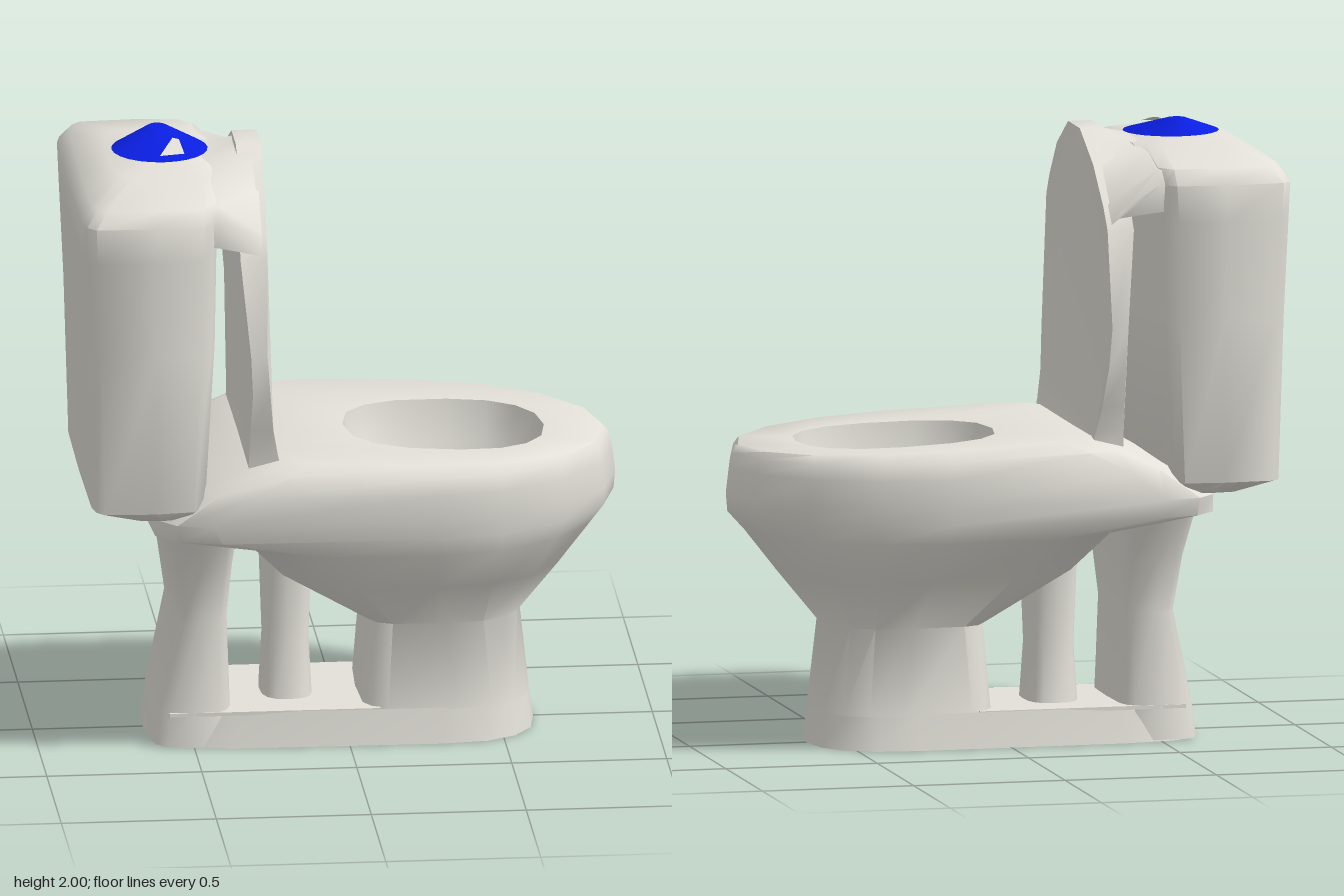
import * as THREE from 'three';
import { toCreasedNormals } from 'three/addons/utils/BufferGeometryUtils.js';

const N = 16;

// Rounded cross-section at height y: xb..xf long, widest (half width w) at xm.
// eb / ef shape the back / front end (1 = elliptical, small = boxy); tilt lowers the front.
function ring(y, xb, xm, xf, w, eb = 1, ef = 1, tilt = 0) {
  const pts = [];
  for (let i = 0; i < N; i++) {
    const a = (i / N) * Math.PI * 2;
    const c = Math.cos(a), s = Math.sin(a), e = c < 0 ? eb : ef;
    const pow = (v) => Math.sign(v) * Math.pow(Math.abs(v) < 1e-9 ? 0 : Math.abs(v), e);
    const x = xm + (c < 0 ? xm - xb : xf - xm) * pow(c);
    pts.push([x, y + tilt * (0.3 - x), -w * pow(s)]);
  }
  return pts;
}

// Mirrored outline in z and y
const mirrored = (half) => [...half, ...half.map(([z, y]) => [-z, y]).reverse()];

// Upright cross-section at x
const arch = (x, half) => mirrored(half).map(([z, y]) => [x, y, z]);

// Skin over a stack of cross-sections
function loft(rings, crease = 0.9) {
  const n = rings[0].length, index = [];
  for (let r = 0; r < rings.length - 1; r++) {
    for (let i = 0; i < n; i++) {
      const j = (i + 1) % n, a = r * n, b = a + n;
      index.push(a + i, a + j, b + j, a + i, b + j, b + i);
    }
  }
  const geo = new THREE.BufferGeometry();
  geo.setAttribute('position', new THREE.Float32BufferAttribute(rings.flat(2), 3));
  geo.setIndex(index);
  return toCreasedNormals(geo, crease);
}

// Linear lookup in a list of [key, value]
function lookup(table, k) {
  for (let i = 1; i < table.length; i++) {
    const [k0, v0] = table[i - 1], [k1, v1] = table[i];
    if (k <= k1) return v0 + (v1 - v0) * Math.max(0, (k - k0) / (k1 - k0));
  }
  return table[table.length - 1][1];
}

export function createModel() {
  const ceramic = new THREE.MeshStandardMaterial({ color: 0xe2e0d8, side: THREE.DoubleSide });
  ceramic.name = 'ceramic';
  const blue = new THREE.MeshStandardMaterial({ color: 0x0a1ee0 });
  blue.name = 'buttonBlue';

  const group = new THREE.Group();
  const add = (name, geo, mat = ceramic) => {
    const mesh = new THREE.Mesh(geo, mat);
    mesh.name = name;
    group.add(mesh);
    return mesh;
  };

  // Pedestal, bowl, seat rim and the open funnel inside, in one skin
  add('bowl', loft([
    ring(0.11, 0.04, 0.34, 0.60, 0.255, 0.35, 0.8),
    ring(0.39, 0.06, 0.32, 0.57, 0.225, 0.4, 0.8),
    ring(0.56, -0.24, 0.28, 0.71, 0.385, 0.7, 0.95),
    ring(0.70, -0.36, 0.26, 0.82, 0.485, 0.55, 1.0),
    ring(0.76, -0.66, 0.25, 0.875, 0.50, 0.3, 1.05),
    ring(0.82, -0.65, 0.25, 0.88, 0.51, 0.25, 1.05),
    ring(0.91, -0.5, 0.25, 0.87, 0.515, 0.25, 1.05, 0.01),
    ring(0.965, -0.36, 0.25, 0.86, 0.505, 0.3, 1.05, 0.03),
    ring(0.995, -0.27, 0.25, 0.84, 0.46, 0.35, 1.0, 0.04),
    ring(0.99, 0.0, 0.36, 0.65, 0.27, 0.8, 0.85, 0.03),
    ring(0.85, 0.02, 0.36, 0.64, 0.25, 0.8, 0.85),
    ring(0.62, 0.2, 0.36, 0.52, 0.125, 0.8, 0.9),
    ring(0.5, 0.22, 0.36, 0.51, 0.12, 0.8, 0.9),
  ]));

  // Low foot running under pedestal and rear leg, open below
  add('foot', loft([
    ring(0.0, -0.645, 0.3, 0.615, 0.275, 0.35, 0.8),
    ring(0.115, -0.62, 0.3, 0.6, 0.255, 0.35, 0.8),
  ]));
  const floor = add('footTop', new THREE.BoxGeometry(0.68, 0.012, 0.5));
  floor.position.set(-0.24, 0.112, 0);

  // Rear leg beneath the tank
  add('rearLeg', loft([
    ring(0.005, -0.5, -0.5, -0.5, 0.0),
    ring(0.005, -0.64, -0.5, -0.37, 0.255, 0.5, 0.4),
    ring(0.12, -0.625, -0.5, -0.375, 0.25, 0.5, 0.4),
    ring(0.42, -0.565, -0.48, -0.385, 0.225, 0.5, 0.4),
    ring(0.6, -0.59, -0.48, -0.37, 0.275, 0.5, 0.4),
    ring(0.77, -0.625, -0.48, -0.35, 0.36, 0.5, 0.4),
  ]));

  // Waste pipe seen through the opening
  add('wastePipe', loft([
    ring(0.11, -0.27, -0.18, -0.1, 0.13, 0.7, 0.7),
    ring(0.3, -0.26, -0.19, -0.11, 0.1, 0.7, 0.7),
    ring(0.6, -0.27, -0.19, -0.1, 0.12, 0.7, 0.7),
  ]));

  // Tank with a softly crowned top
  add('tank', loft([
    ring(0.82, -0.66, -0.62, -0.58, 0.1, 0.4, 0.4),
    ring(0.83, -0.72, -0.62, -0.5, 0.44, 0.3, 0.4),
    ring(0.87, -0.85, -0.65, -0.47, 0.495, 0.22, 0.35),
    ring(1.4, -0.865, -0.65, -0.44, 0.51, 0.22, 0.35),
    ring(1.72, -0.88, -0.65, -0.435, 0.52, 0.22, 0.35),
    ring(1.84, -0.885, -0.65, -0.425, 0.525, 0.22, 0.35),
    ring(1.89, -0.85, -0.63, -0.42, 0.49, 0.25, 0.4),
    ring(1.93, -0.76, -0.6, -0.42, 0.27, 0.5, 0.6),
    ring(1.95, -0.6, -0.58, -0.56, 0.02),
    ring(1.95, -0.58, -0.58, -0.58, 0),
  ]));

  // Raised lid: outline in z and y, thickened between a front and a back curve
  const outline = mirrored([[0.39, 0.96], [0.4, 1.03], [0.425, 1.12], [0.465, 1.25],
    [0.47, 1.38], [0.42, 1.69], [0.37, 1.76], [0.25, 1.88], [0.08, 1.975]]);
  const lid = new THREE.ExtrudeGeometry(
    new THREE.Shape(outline.map(([z, y]) => new THREE.Vector2(z, y))),
    { depth: 1, bevelEnabled: false });
  const front = [[0.96, -0.23], [1.05, -0.25], [1.12, -0.262], [1.35, -0.285], [1.72, -0.28], [1.98, -0.27]];
  const back = [[0.96, -0.34], [1.3, -0.33], [1.72, -0.37], [1.98, -0.35]];
  const p = lid.attributes.position;
  for (let i = 0; i < p.count; i++) {
    const y = p.getY(i), b = lookup(back, y);
    p.setXYZ(i, b + (lookup(front, y) - b) * p.getZ(i), y, -p.getX(i));
  }
  add('lid', toCreasedNormals(lid, 1.0));

  // Shoulder flowing from the tank top into the lid
  add('lidBridge', loft([
    arch(-0.52, [[0.2, 1.76], [0.46, 1.76], [0.47, 1.84], [0.44, 1.88], [0.27, 1.91], [0.08, 1.93]]),
    arch(-0.44, [[0.2, 1.75], [0.46, 1.75], [0.475, 1.84], [0.44, 1.885], [0.27, 1.92], [0.08, 1.937]]),
    arch(-0.29, [[0.2, 1.72], [0.39, 1.72], [0.405, 1.7], [0.365, 1.76], [0.25, 1.875], [0.08, 1.97]]),
  ], 1.1));

  // Flush button: low dome with its crown set off centre
  const dome = new THREE.CylinderGeometry(0.03, 0.155, 0.05, 24);
  const d = dome.attributes.position;
  for (let i = 0; i < d.count; i++) if (d.getY(i) > 0) d.setZ(i, d.getZ(i) - 0.08);
  dome.computeVertexNormals();
  add('flushButton', dome, blue).position.set(-0.59, 1.973, 0);

  // Pale fleck on the button, a thin plate lying on the dome's gentle slope
  const fleck = add('buttonFleck', new THREE.ShapeGeometry(new THREE.Shape([
    new THREE.Vector2(-0.01, -0.13), new THREE.Vector2(0.07, -0.12),
    new THREE.Vector2(0.06, -0.03), new THREE.Vector2(0.04, -0.02)])));
  fleck.rotation.x = -Math.PI / 2 + 0.245;
  fleck.position.set(-0.59, 1.992, 0);

  return group;
}
